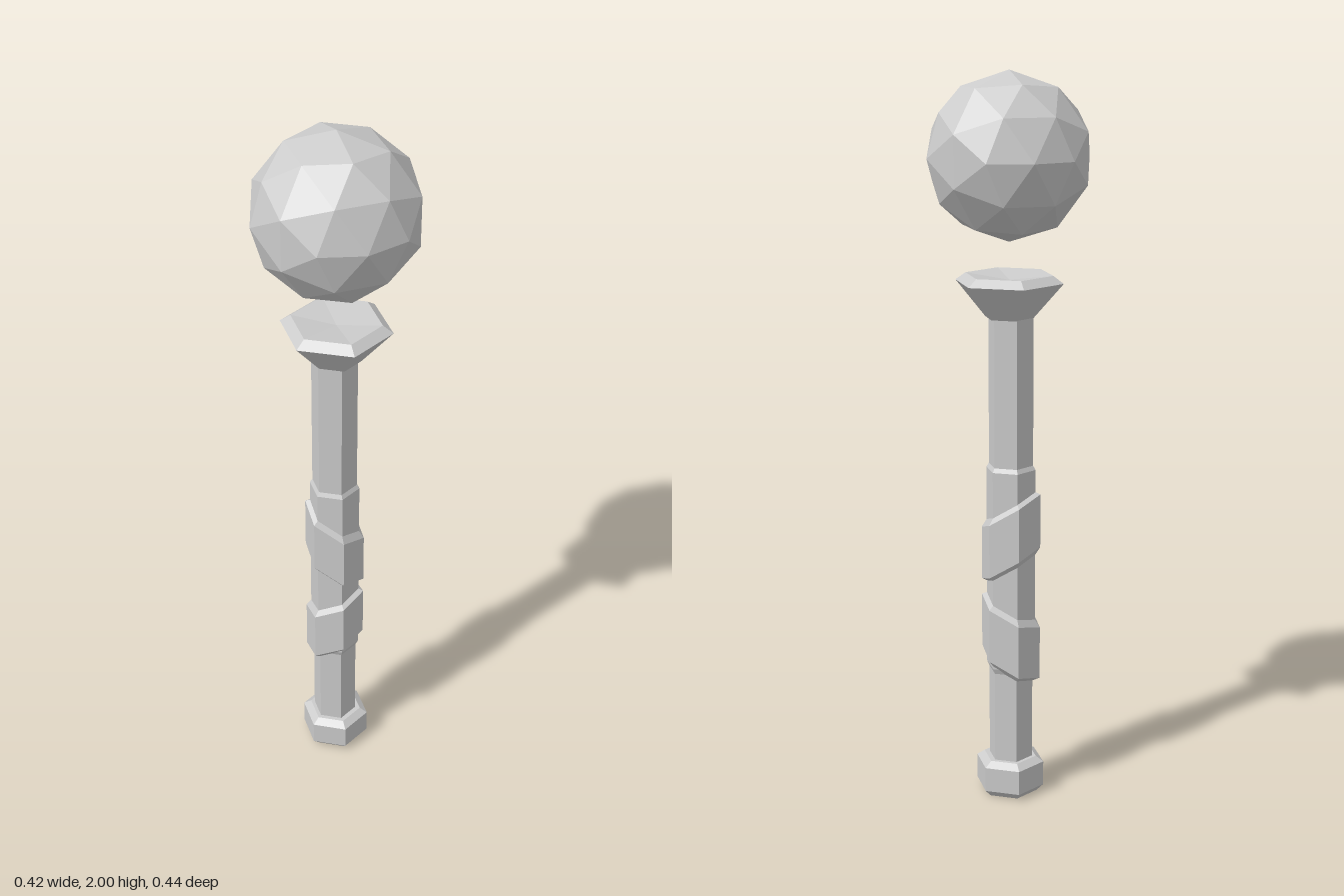
import * as THREE from 'three';

const material = new THREE.MeshStandardMaterial({ color: 0xcccccc, flatShading: true });

// Six-sided turned part with corners on the x axis; profile runs bottom to top as [radius, y]
function hexPart(name, profile, x = -0.005) {
  const points = profile.map(([r, y]) => new THREE.Vector2(r, y));
  const mesh = new THREE.Mesh(new THREE.LatheGeometry(points, 6, Math.PI / 2), material);
  mesh.name = name;
  mesh.position.x = x;
  return mesh;
}

// Bevelled wrap around the grip, sheared so that it climbs along x
function slantedBand(name, y, slope) {
  const band = hexPart(name, [[0.058, -0.1], [0.083, -0.075], [0.083, 0.075], [0.058, 0.1]]);
  const pos = band.geometry.attributes.position;
  for (let i = 0; i < pos.count; i++) pos.setY(i, pos.getY(i) + slope * pos.getX(i));
  band.geometry.computeVertexNormals();
  band.position.y = y;
  return band;
}

export function createModel() {
  const model = new THREE.Group();
  model.name = 'scepter';

  // Pommel, shaft and slightly thicker grip
  model.add(
    hexPart('pommel', [[0, 0], [0.078, 0], [0.097, 0.02], [0.097, 0.09], [0.075, 0.105], [0, 0.105]], -0.003),
    hexPart('shaft', [[0.062, 0.09], [0.062, 1.38]]),
    hexPart('gripSleeve', [[0.06, 0.36], [0.069, 0.38], [0.069, 0.945], [0.06, 0.96]]),
    slantedBand('upperGripBand', 0.75, -0.63),
    slantedBand('lowerGripBand', 0.46, 0.5),
  );

  // Flared cup with a shallow dished top
  model.add(hexPart('cup',
    [[0, 1.36], [0.066, 1.36], [0.148, 1.455], [0.12, 1.475], [0, 1.46]], 0));

  // Floating faceted orb, one corner facing forward
  const orbGeometry = new THREE.IcosahedronGeometry(0.22, 1);
  orbGeometry.rotateX(Math.atan(2 / (1 + Math.sqrt(5))));
  orbGeometry.rotateZ(Math.PI / 2);
  const orb = new THREE.Mesh(orbGeometry, material);
  orb.name = 'orb';
  orb.position.y = 1.78;
  model.add(orb);

  return model;
}
